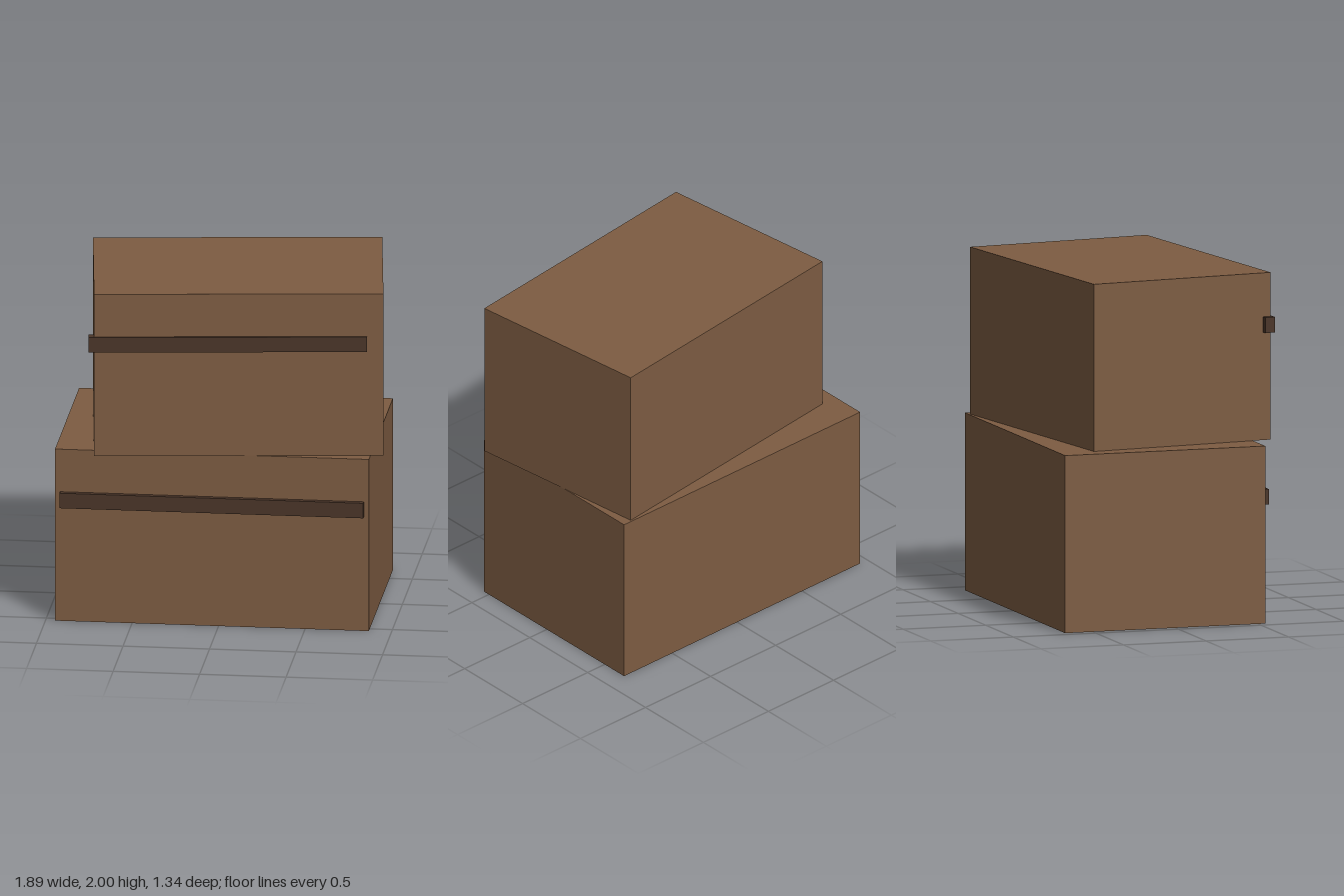
import * as THREE from 'three';

const cardboard = new THREE.MeshStandardMaterial({ color: 0x7d5c42 });
const tape = new THREE.MeshStandardMaterial({ color: 0x4a3528 });

function block(name, size, position, material) {
  const mesh = new THREE.Mesh(new THREE.BoxGeometry(...size), material);
  mesh.name = name;
  mesh.position.set(...position);
  return mesh;
}

export function createModel() {
  const model = new THREE.Group();
  model.name = 'stackedBoxes';

  // Lower box with a strip across its front
  const lower = new THREE.Group();
  lower.name = 'lowerBox';
  lower.position.set(-0.038, 0, -0.062);
  lower.add(
    block('lowerBody', [1.814, 1.03, 1.212], [0, 0.515, 0], cardboard),
    block('lowerStrip', [1.755, 0.09, 0.06], [0, 0.73, 0.607], tape),
  );

  // Smaller upper box, turned on top of the lower one; its strip sits off-centre
  const upper = new THREE.Group();
  upper.name = 'upperBox';
  upper.position.set(0.051, 1.03, -0.001);
  upper.rotation.y = 0.12;
  upper.add(
    block('upperBody', [1.662, 0.97, 1.122], [0, 0.485, 0], cardboard),
    block('upperStrip', [1.6, 0.09, 0.06], [-0.064, 0.67, 0.544], tape),
  );

  model.add(lower, upper);
  return model;
}
